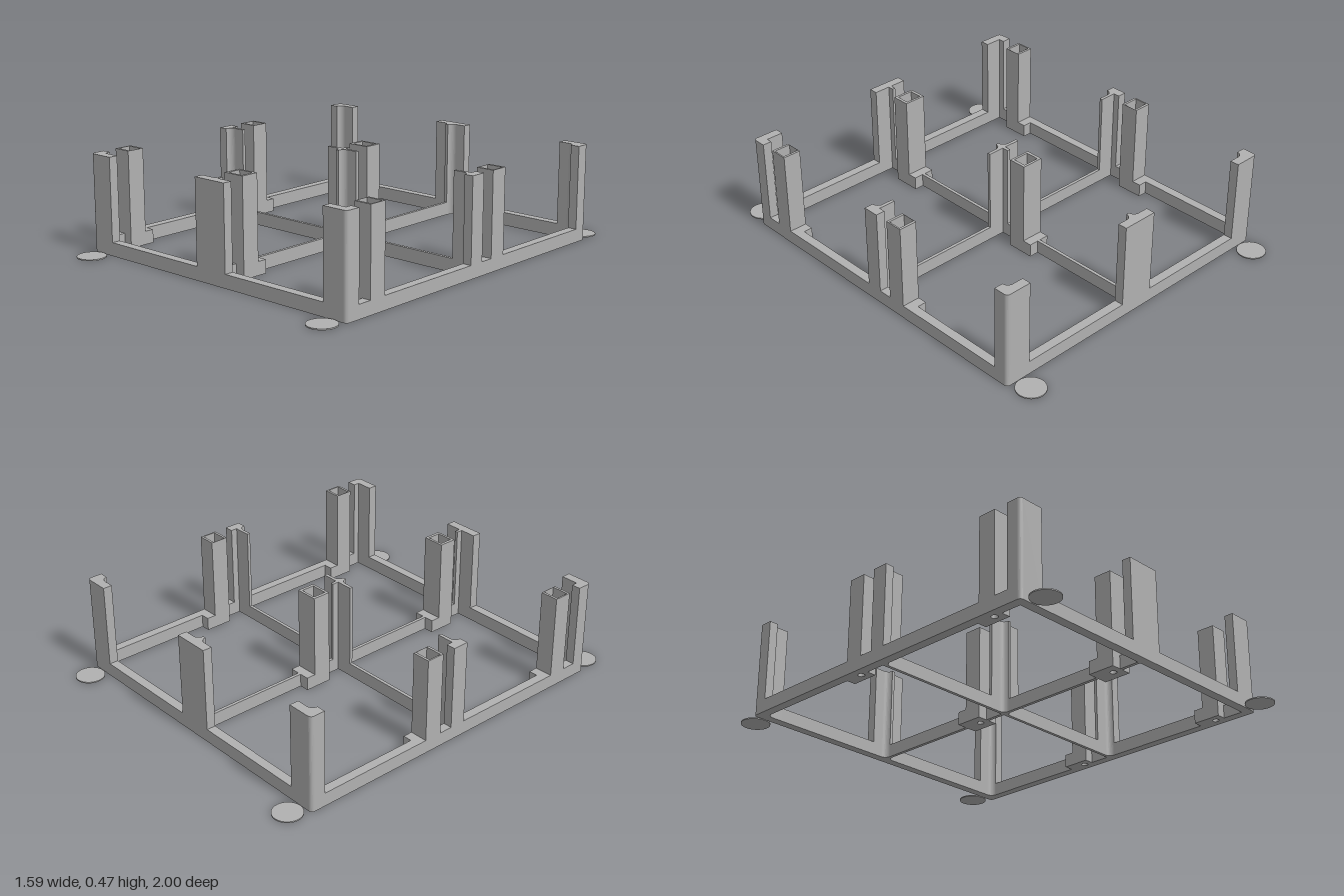
import * as THREE from 'three';

const X = 0.795, Z = 0.857;      // outer half sizes of the frame
const XI = 0.75, ZI = 0.812;     // inner faces of the outer rails
const T = 0.008;                 // half thickness of the inner rails
const RAIL = 0.065, POST = 0.47; // heights

export function createModel() {
  const root = new THREE.Group();
  const grey = new THREE.MeshStandardMaterial({ color: 0xb0b0b0 });
  grey.name = 'grey plastic';

  const add = (name, geo) => {
    const mesh = new THREE.Mesh(geo, grey);
    mesh.name = name;
    root.add(mesh);
  };
  // box from min and max values
  const box = (name, x0, x1, y0, y1, z0, z1) => {
    const g = new THREE.BoxGeometry(x1 - x0, y1 - y0, z1 - z0);
    add(name, g.translate((x0 + x1) / 2, (y0 + y1) / 2, (z0 + z1) / 2));
  };
  // upright prism from a floor plan of [x, z] points
  const prism = (name, pts, y0, y1, hole) => {
    const shape = new THREE.Shape(pts.map(([x, z]) => new THREE.Vector2(x, z)));
    if (hole) shape.holes.push(new THREE.Path(hole.map(([x, z]) => new THREE.Vector2(x, z))));
    const g = new THREE.ExtrudeGeometry(shape, { depth: y1 - y0, bevelEnabled: false });
    add(name, g.rotateX(Math.PI / 2).translate(0, y1, 0));
  };
  const rect = (x0, x1, z0, z1) => [[x0, z0], [x1, z0], [x1, z1], [x0, z1]];
  const arc = (n, fn) => Array.from({ length: n + 1 }, (_, i) => fn(i / n * Math.PI / 2));

  // spans of the three columns and three rows of the frame
  const cols = [
    { wall: [-X, -XI], arm: [-X, -0.665] },
    { wall: [-T, T], arm: [-0.09, 0.09] },
    { wall: [XI, X], arm: [0.665, X] },
  ];
  const rows = [
    { wall: [-Z, -ZI], arm: [-Z, -0.782] },
    { wall: [-T, T], arm: [-0.04, 0.04] },
    { wall: [ZI, Z], arm: [0.782, Z] },
  ];

  // posts: an arm along x and an arm along z at every crossing
  cols.forEach((c, i) => rows.forEach((r, j) => {
    const sx = i - 1, sz = j - 1;
    if (sx && sz) {
      const R = 0.018;
      const round = arc(6, a => [sx * (X - R + R * Math.sin(a)), sz * (Z - R + R * Math.cos(a))]);
      prism('cornerPost', [[sx * 0.665, sz * Z], ...round, [sx * X, sz * ZI], [sx * 0.665, sz * ZI]], 0, POST);
    } else {
      box('postWidthArm', ...c.arm, 0, POST, ...r.wall);
    }
    // depth arm, kept clear of the width arm
    if (sz <= 0) box('postDepthArm', ...c.wall, 0, POST, r.wall[1], r.arm[1]);
    if (sz >= 0) box('postDepthArm', ...c.wall, 0, POST, r.arm[0], r.wall[0]);
  }));

  // rounded fillets in the back corners of each bay
  const F = 0.03;
  for (const z of [-ZI, T]) {
    for (const [x, d] of [[-XI, 1], [-T, -1], [T, 1], [XI, -1]]) {
      const curve = arc(8, a => [x + d * F * (1 - Math.sin(a)), z + F * (1 - Math.cos(a))]);
      prism('postFillet', [[x, z], ...curve], 0, POST);
    }
  }

  // rails across the width
  for (const r of rows) {
    box('crossRail', -0.665, -0.09, 0, RAIL, ...r.wall);
    box('crossRail', 0.09, 0.665, 0, RAIL, ...r.wall);
  }

  // socket towers, each on a stepped foot
  const towers = [-0.152, 0.667], H = 0.045, STEP = 0.092;
  const sockets = [
    { span: [-X, -0.705], cx: -0.747 },
    { span: [-0.056, 0.056], cx: 0 },
    { span: [0.705, X], cx: 0.747 },
  ];
  for (const { span, cx } of sockets) {
    for (const cz of towers) {
      const circle = Array.from({ length: 24 }, (_, k) => {
        const a = k / 24 * Math.PI * 2;
        return [cx + 0.016 * Math.cos(a), cz + 0.016 * Math.sin(a)];
      });
      const foot = rect(...span, cz - STEP, cz + H);
      prism('footBase', foot, 0, 0.03, circle);
      prism('footLedge', foot, 0.03, RAIL, rect(cx - 0.026, cx + 0.026, cz - 0.023, cz + 0.023));
      prism('socketTower', rect(...span, cz - H, cz + H), RAIL, POST,
        rect(cx - 0.041, cx + 0.041, cz - 0.033, cz + 0.033));
    }
  }

  // rails along the depth, interrupted by the feet
  const [back, front] = towers;
  const runs = [
    [-0.782, back - STEP], [back + H, -0.04],
    [0.04, front - STEP], [front + H, 0.782],
  ];
  for (const c of cols) for (const [z0, z1] of runs) box('depthRail', ...c.wall, 0, RAIL, z0, z1);

  // thin round pads outside the corners
  for (const sx of [-1, 1]) for (const sz of [-1, 1]) {
    const g = new THREE.CylinderGeometry(0.069, 0.069, 0.006, 48);
    add('cornerPad', g.translate(sx * 0.728, 0.003, sz * 0.931));
  }
  return root;
}
